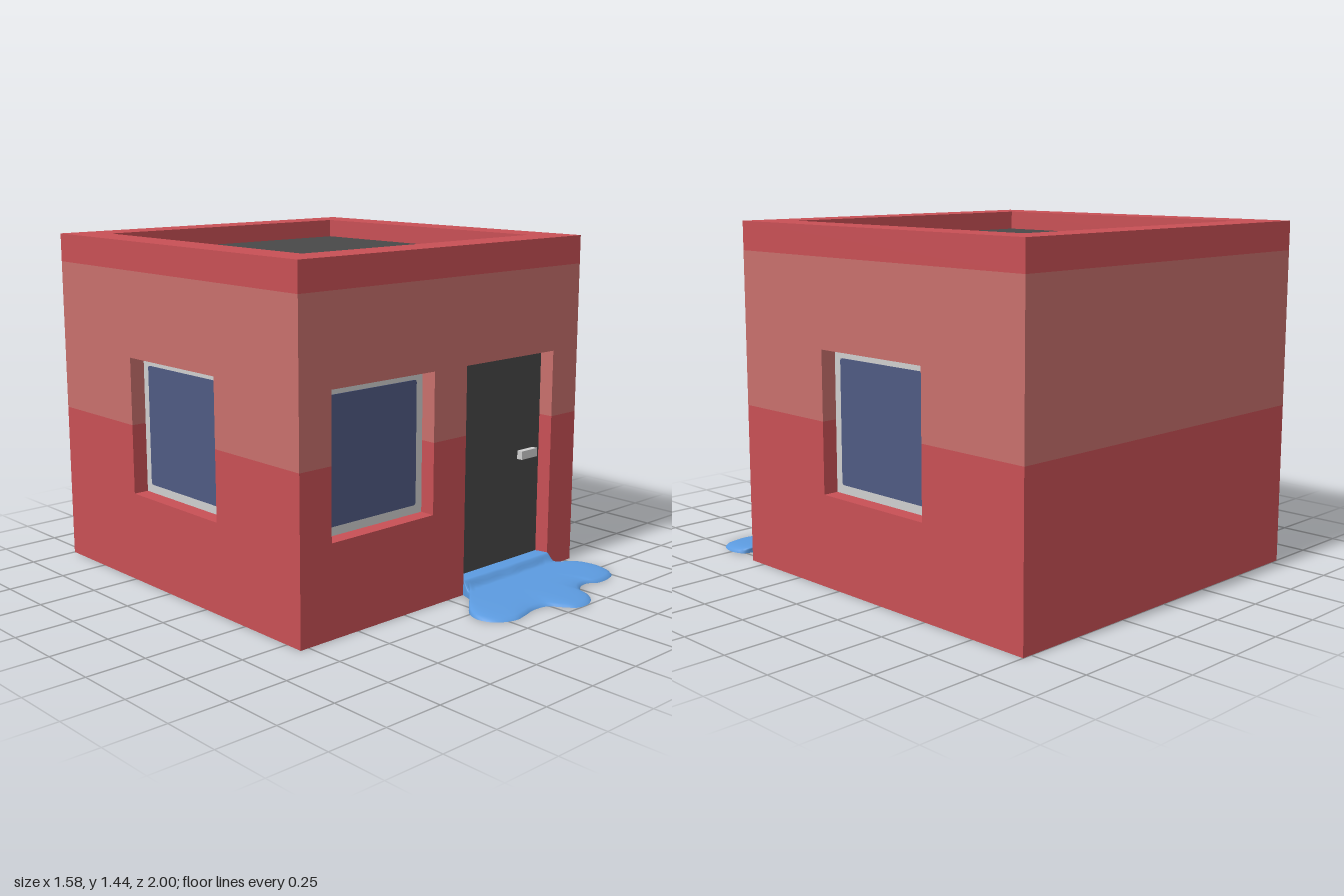
import * as THREE from 'three';

const mat = (name, color, side = THREE.FrontSide) => {
  const m = new THREE.MeshStandardMaterial({ color, side });
  m.name = name;
  return m;
};

export function createModel() {
  const red = mat('wall red', 0xc85055);
  const pink = mat('faded band', 0xc76f6c);
  const white = mat('light grey', 0xcfcfcf);
  const glass = mat('window blue', 0x4f5a82);
  const dark = mat('charcoal', 0x484848);
  const blue = mat('water blue', 0x5c9be0, THREE.DoubleSide);

  const house = new THREE.Group();
  house.name = 'house';
  const W = 0.79, FRONT = 0.58, BACK = -1, D = 0.07;
  const B1 = 0.675, B2 = 1.32, TOP = 1.44;

  const add = (parent, name, geo, material) => {
    const m = new THREE.Mesh(geo, material);
    m.name = name;
    parent.add(m);
    return m;
  };
  // box given by its min and max corners
  const box = (parent, name, material, x0, x1, y0, y1, z0, z1) => {
    const g = new THREE.BoxGeometry(x1 - x0, y1 - y0, z1 - z0);
    g.translate((x0 + x1) / 2, (y0 + y1) / 2, (z0 + z1) / 2);
    return add(parent, name, g, material);
  };

  // one wall: two colour bands notched around its openings [u0, u1, y0, y1]
  function wall(name, u0, u1, openings) {
    const g = new THREE.Group();
    g.name = name;
    const lower = [[u0, 0], [u1, 0], [u1, B1]];
    for (const [a, b, y] of [...openings].reverse()) lower.push([b, B1], [b, y], [a, y], [a, B1]);
    lower.push([u0, B1]);
    const upper = [[u0, B1]];
    for (const [a, b, , y] of openings) upper.push([a, B1], [a, y], [b, y], [b, B1]);
    upper.push([u1, B1], [u1, B2], [u0, B2]);
    for (const [label, pts, m] of [['lowerBand', lower, red], ['middleBand', upper, pink]]) {
      const shape = new THREE.Shape(pts.map(p => new THREE.Vector2(...p)));
      add(g, label, new THREE.ExtrudeGeometry(shape, { depth: D, bevelEnabled: false }), m);
    }
    house.add(g);
    return g;
  }

  // pale frame plate with a round-cornered pane on it
  function windowIn(parent, [a, b, y0, y1]) {
    const g = new THREE.Group();
    g.name = 'window';
    box(g, 'windowFrame', white, a, b, y0, y1, 0, 0.004);
    const t = 0.036, r = 0.012;
    const l = a + t, rt = b - t, lo = y0 + t, hi = y1 - t;
    const s = new THREE.Shape();
    s.moveTo(l + r, lo).lineTo(rt - r, lo).quadraticCurveTo(rt, lo, rt, lo + r)
      .lineTo(rt, hi - r).quadraticCurveTo(rt, hi, rt - r, hi)
      .lineTo(l + r, hi).quadraticCurveTo(l, hi, l, hi - r)
      .lineTo(l, lo + r).quadraticCurveTo(l, lo, l + r, lo);
    const pane = add(g, 'windowPane', new THREE.ExtrudeGeometry(s, { depth: 0.003, bevelEnabled: false }), glass);
    pane.position.z = 0.004;
    parent.add(g);
  }

  // inner block, whose rear is the back wall
  box(house, 'coreLower', red, -W + D, W - D, 0, B1, BACK, FRONT - D);
  box(house, 'coreMiddle', pink, -W + D, W - D, B1, B2, BACK, FRONT - D);

  // front wall with window and door
  const frontWindow = [-0.635, -0.095, 0.38, 0.96];
  const doorway = [0.09, 0.63, 0.008, 0.96];
  const front = wall('frontWall', -W, W, [frontWindow, doorway]);
  front.position.z = FRONT - D;
  windowIn(front, frontWindow);
  box(front, 'door', dark, 0.09, 0.63, 0.008, 0.96, 0, 0.004);
  box(front, 'doorHandle', white, 0.49, 0.59, 0.498, 0.535, 0.004, 0.03);

  // side walls
  for (const side of [1, -1]) {
    const opening = side > 0 ? [-0.08, 0.49, 0.38, 0.96] : [-0.49, 0.08, 0.38, 0.96];
    const ends = side > 0 ? [D - FRONT, -BACK] : [BACK, FRONT - D];
    const w = wall(side > 0 ? 'leftWall' : 'rightWall', ...ends, [opening]);
    windowIn(w, opening);
    w.rotation.y = side * Math.PI / 2;
    w.position.x = side * (W - D);
  }

  // parapet ring and sunken roof
  const rect = (C, x, z0, z1) => new C([[-x, -z1], [x, -z1], [x, -z0], [-x, -z0]].map(p => new THREE.Vector2(...p)));
  const ring = rect(THREE.Shape, W, BACK, FRONT);
  ring.holes.push(rect(THREE.Path, 0.633, -0.845, 0.42));
  const parapetGeo = new THREE.ExtrudeGeometry(ring, { depth: TOP - B2, bevelEnabled: false });
  parapetGeo.rotateX(-Math.PI / 2).translate(0, B2, 0);
  add(house, 'parapet', parapetGeo, red);
  box(house, 'roof', dark, -0.633, 0.633, B2, 1.36, -0.845, 0.42);

  // water: lofted from the doorway out to a wavy shoreline
  const shore = [
    [0.09, 0.58], [0.06, 0.65], [0, 0.695], [-0.055, 0.75], [-0.075, 0.81], [-0.05, 0.875],
    [0.03, 0.915], [0.1, 0.905], [0.17, 0.89], [0.24, 0.9], [0.28, 0.95], [0.32, 0.993],
    [0.39, 0.995], [0.455, 0.95], [0.48, 0.885], [0.53, 0.845], [0.58, 0.84], [0.62, 0.865],
    [0.69, 0.865], [0.75, 0.84], [0.78, 0.77], [0.765, 0.695], [0.71, 0.67], [0.65, 0.62], [0.63, 0.58],
  ];
  const curve = new THREE.CatmullRomCurve3(shore.map(([x, z]) => new THREE.Vector3(x, 0, z)));
  const N = 96;
  const steps = [-1, 0, 0.03, 0.06, 0.09, 0.12, 0.17, 0.3, 0.5, 0.7, 0.85, 0.94, 0.98, 1];
  const pos = [], index = [];
  for (const s of steps) {
    for (let i = 0; i <= N; i++) {
      const t = i / N, p = curve.getPoint(t), x0 = 0.09 + 0.54 * t;
      if (s < 0) { pos.push(x0, 0.058, FRONT - D); continue; }
      const z = FRONT + (p.z - FRONT) * s;
      const body = 0.03 - 0.03 * (z - FRONT) + 0.034 * (1 - THREE.MathUtils.smoothstep(z, 0.58, 0.615));
      pos.push(x0 + (p.x - x0) * s, body * Math.sqrt(1 - s ** 8), z);
    }
  }
  for (let j = 0; j < steps.length - 1; j++) {
    for (let i = 0; i < N; i++) {
      const a = j * (N + 1) + i, b = a + N + 1;
      index.push(a, b, b + 1, a, b + 1, a + 1);
    }
  }
  const water = new THREE.BufferGeometry();
  water.setAttribute('position', new THREE.Float32BufferAttribute(pos, 3));
  water.setIndex(index);
  water.computeVertexNormals();
  add(house, 'puddle', water, blue);
  const base = new THREE.ShapeGeometry(new THREE.Shape(curve.getPoints(N).map(p => new THREE.Vector2(p.x, p.z))));
  base.rotateX(Math.PI / 2);
  add(house, 'puddleUnderside', base, blue);

  return house;
}
